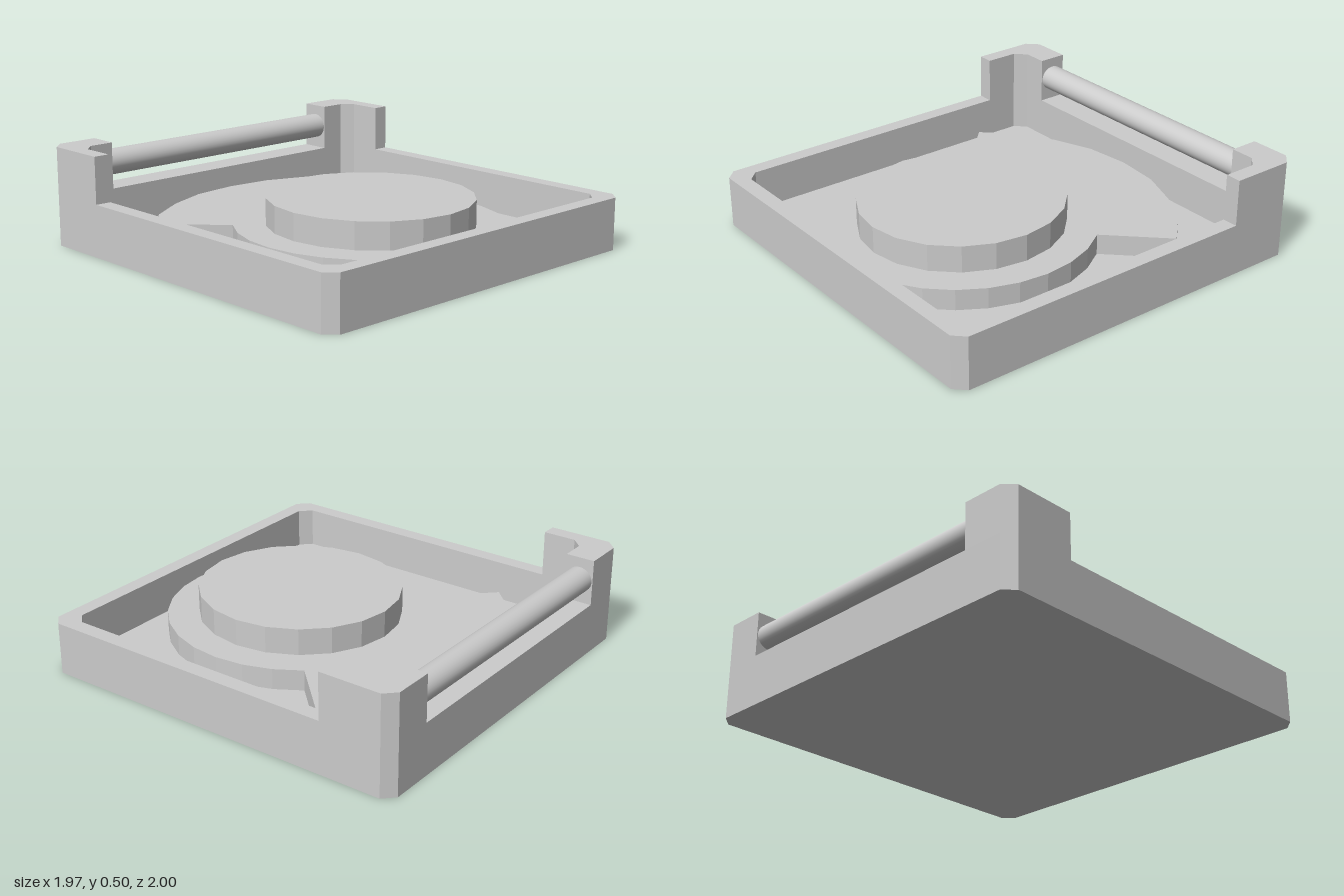
import * as THREE from 'three';

const material = new THREE.MeshStandardMaterial({ color: 0xcccccc, flatShading: true });
const smooth = new THREE.MeshStandardMaterial({ color: 0xcccccc });

// Outline given as [x, z] points
const outline = (pts) => pts.map(([x, z]) => new THREE.Vector2(x, -z));

// Upright prism from an [x, z] outline between two heights
function prism(name, pts, y0, y1, hole) {
  const shape = new THREE.Shape(outline(pts));
  if (hole) shape.holes.push(new THREE.Path(outline(hole)));
  const geo = new THREE.ExtrudeGeometry(shape, { depth: y1 - y0, bevelEnabled: false });
  geo.rotateX(-Math.PI / 2).translate(0, y0, 0);
  const mesh = new THREE.Mesh(geo, material);
  mesh.name = name;
  return mesh;
}

// Rectangle with cut corners
const chamfered = (w, back, front, c) => [
  [-w + c, front], [w - c, front], [w, front - c], [w, back + c],
  [w - c, back], [-w + c, back], [-w, back + c], [-w, front - c],
];

export function createModel() {
  const group = new THREE.Group();
  const wallTop = 0.265, floorTop = 0.06, plateTop = 0.165, discTop = 0.3, postTop = 0.5;
  const outer = chamfered(0.985, -1, 1, 0.055);
  const inner = chamfered(0.905, -0.85, 0.92, 0.055);

  // Tray
  group.add(prism('trayWall', outer, 0, wallTop, inner));
  group.add(prism('trayFloor', inner, 0, floorTop));

  // Raised corner posts
  for (const s of [1, -1]) {
    const post = [
      [0.725, -1], [0.93, -1], [0.985, -0.945], [0.985, -0.625],
      [0.905, -0.625], [0.905, -0.795], [0.85, -0.85], [0.725, -0.85],
    ].map(([x, z]) => [s * x, z]);
    group.add(prism(s > 0 ? 'leftPost' : 'rightPost', post, wallTop, postTop));
  }

  // Hinge bar between the posts
  const bar = new THREE.Mesh(new THREE.CylinderGeometry(1, 1, 1.45, 32), smooth);
  bar.geometry.rotateZ(Math.PI / 2).scale(1, 0.065, 0.07).translate(0, 0.385, -0.925);
  bar.name = 'hingeBar';
  group.add(bar);

  // Keyhole plate: round front, fan-shaped back
  const cz = 0.243;
  const half = [];
  for (let i = 0; i <= 10; i++) {
    const a = (i * Math.PI) / 14;
    half.push([0.655 * Math.sin(a), cz + 0.677 * Math.cos(a)]);
  }
  half.push([0.775, -0.45], [0.64, -0.59], [0.445, -0.71], [0.235, -0.79], [0, -0.815]);
  const mirrored = half.slice(1, -1).reverse().map(([x, z]) => [-x, z]);
  group.add(prism('keyholePlate', [...half, ...mirrored], floorTop, plateTop));

  // Raised disc
  const disc = new THREE.Mesh(
    new THREE.CylinderGeometry(1, 1, discTop - plateTop, 20), material);
  disc.geometry.scale(0.5, 1, 0.517).translate(0, (discTop + plateTop) / 2, cz);
  disc.name = 'disc';
  group.add(disc);

  return group;
}
